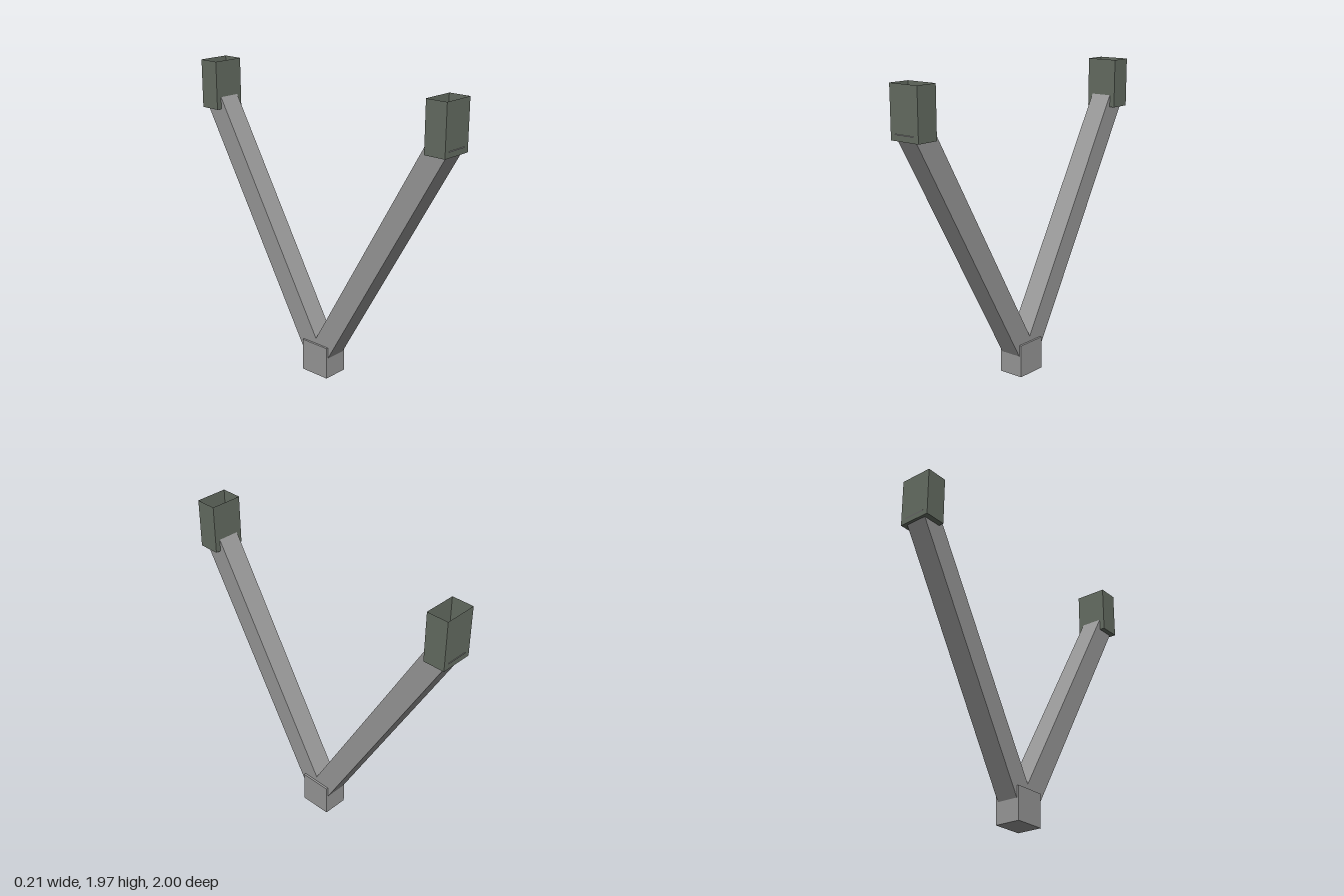
import * as THREE from 'three';

export function createModel() {
  const grey = new THREE.MeshStandardMaterial({ color: 0x999999 });
  grey.name = 'grey';
  const greenGrey = new THREE.MeshStandardMaterial({ color: 0x666e63, side: THREE.DoubleSide });
  greenGrey.name = 'greenGrey';

  const model = new THREE.Group();
  model.name = 'vBracket';

  const add = (name, geometry, material, y, z) => {
    const mesh = new THREE.Mesh(geometry, material);
    mesh.name = name;
    mesh.position.set(0, y, z);
    model.add(mesh);
    return mesh;
  };

  // Base block joining the two arms
  add('hub', new THREE.BoxGeometry(0.172, 0.216, 0.212), grey, 0.108, 0);

  // Square arm, with its lower end at the origin
  const armLength = 1.873;
  const armGeometry = new THREE.BoxGeometry(0.144, armLength, 0.147);
  armGeometry.translate(0, armLength / 2, 0);

  // Thin-walled cup: a box without its top face
  const cupGeometry = new THREE.BoxGeometry(0.214, 0.318, 0.142);
  const index = Array.from(cupGeometry.index.array);
  index.splice(12, 6);
  cupGeometry.setIndex(index);
  cupGeometry.clearGroups();

  // Mirrored front and back arms, each ending in an open cup
  for (const [side, s] of [['front', 1], ['back', -1]]) {
    const arm = add(side + 'Arm', armGeometry, grey, 0.104, 0);
    arm.rotation.x = s * Math.PI / 6;
    add(side + 'Cup', cupGeometry, greenGrey, 1.811, s * 0.926);
  }
  return model;
}
